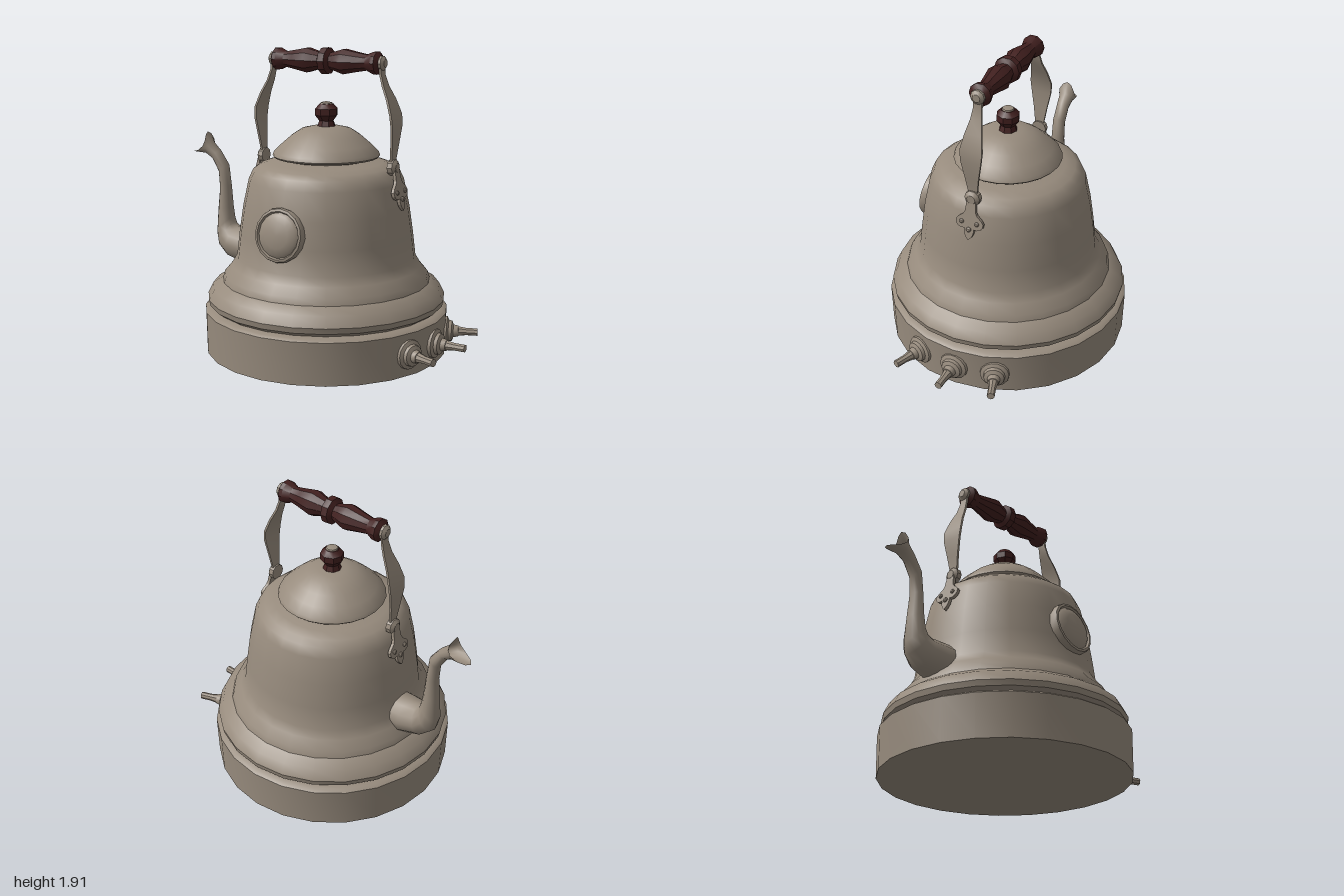
import * as THREE from 'three';
import { toCreasedNormals } from 'three/addons/utils/BufferGeometryUtils.js';

const CX = 0.03; // axis of the pot

export function createModel() {
  const root = new THREE.Group();
  root.name = 'kettle';
  const metal = new THREE.MeshStandardMaterial({ name: 'warm grey metal', color: 0x978b7d, side: THREE.DoubleSide });
  const wood = new THREE.MeshStandardMaterial({ name: 'dark red wood', color: 0x42201f });

  const add = (parent, name, geo, mat = metal) => {
    const m = new THREE.Mesh(geo, mat);
    m.name = name;
    parent.add(m);
    return m;
  };
  const lathe = (pts, sides, crease = 0.6) => toCreasedNormals(
    new THREE.LatheGeometry(pts.map(p => new THREE.Vector2(p[0], p[1])), sides), crease);

  // Loft through rings of equal point count
  const loft = (rings, crease, capped = false) => {
    const n = rings[0].length, idx = [];
    for (let i = 0; i < rings.length - 1; i++) for (let j = 0; j < n; j++) {
      const a = i * n + j, b = i * n + (j + 1) % n;
      idx.push(a, b, a + n, b, b + n, a + n);
    }
    if (capped) for (let j = 1; j < n - 1; j++) {
      const e = (rings.length - 1) * n;
      idx.push(0, j + 1, j, e, e + j, e + j + 1);
    }
    const g = new THREE.BufferGeometry();
    g.setAttribute('position', new THREE.Float32BufferAttribute(rings.flat(2), 3));
    g.setIndex(idx);
    return toCreasedNormals(g, crease);
  };

  // Pot with stepped base
  const body = add(root, 'body', lathe([
    [0, 0], [0.77, 0], [0.775, 0.265], [0.755, 0.28], [0.715, 0.285], [0.75, 0.31], [0.757, 0.345],
    [0.725, 0.41], [0.66, 0.45], [0.648, 0.49], [0.6, 0.545], [0.568, 0.6], [0.55, 0.75], [0.525, 0.92],
    [0.488, 1.09], [0.46, 1.15], [0.42, 1.18], [0.36, 1.2], [0.27, 1.215]], 24));
  body.position.x = CX;

  // Lid with rolled rim
  const lid = add(root, 'lid', lathe([
    [0.26, 1.2], [0.27, 1.22], [0.325, 1.228], [0.337, 1.24], [0.328, 1.262], [0.28, 1.31], [0.22, 1.362],
    [0.155, 1.405], [0.09, 1.42], [0, 1.425]], 24));
  lid.position.x = CX;

  // Lid knob and its cap
  const knob = add(root, 'lidKnob', lathe([
    [0, 1.41], [0.062, 1.41], [0.046, 1.455], [0.073, 1.49], [0.073, 1.53], [0.045, 1.56], [0, 1.56]], 8), wood);
  knob.position.x = CX;
  const cap = add(root, 'knobCap', lathe([[0.042, 1.555], [0.036, 1.568], [0, 1.576]], 8));
  cap.position.x = CX;

  // Front medallion
  const medallion = new THREE.Group();
  medallion.name = 'medallion';
  medallion.position.set(0.025, 0.83, 0.545);
  medallion.rotation.x = Math.PI / 2 - 0.16;
  root.add(medallion);
  add(medallion, 'medallionRing', lathe([
    [0.16, -0.05], [0.166, 0], [0.16, 0.018], [0.145, 0.022], [0.136, 0.008]], 16));
  add(medallion, 'medallionDome', lathe([
    [0.138, 0.008], [0.12, 0.024], [0.08, 0.037], [0, 0.044]], 16, 1));

  // Spout: lower point, upper point and half width of each section
  const sections = [
    [-0.45, 0.47, -0.45, 0.7, 0.12], [-0.58, 0.46, -0.58, 0.7, 0.125], [-0.71, 0.495, -0.655, 0.7, 0.105],
    [-0.785, 0.56, -0.68, 0.72, 0.085], [-0.805, 0.64, -0.69, 0.76, 0.07], [-0.797, 0.8, -0.697, 0.83, 0.055],
    [-0.782, 0.95, -0.708, 0.97, 0.045], [-0.79, 1.06, -0.725, 1.11, 0.042], [-0.84, 1.145, -0.79, 1.2, 0.042],
    [-0.89, 1.175, -0.845, 1.25, 0.05], [-1.0, 1.18, -0.885, 1.32, 0.06]];
  const spout = sections.map(([lx, ly, ux, uy, w], k) => Array.from({ length: 12 }, (_, j) => {
    const a = j / 12 * Math.PI * 2, c = Math.cos(a), s = Math.sin(a);
    const pull = k === sections.length - 1 ? s * s * 0.055 : 0; // notched mouth sides
    return [(lx + ux) / 2 - (ux - lx) / 2 * c + pull, (ly + uy) / 2 - (uy - ly) / 2 * c - pull * 0.4, w * s];
  }));
  add(root, 'spout', loft(spout, 0.9));

  // Wooden grip, turned around x
  const half = [[0.085, 0], [0.083, 0.022], [0.055, 0.04], [0.062, 0.07], [0.08, 0.13], [0.062, 0.22],
    [0.05, 0.29], [0.07, 0.335], [0.072, 0.36], [0.045, 0.38], [0, 0.38]];
  const grip = add(root, 'grip', lathe(
    [...half.slice(1).reverse().map(([r, y]) => [r, -y]), ...half], 10), wood);
  grip.rotation.z = -Math.PI / 2;
  grip.position.set(CX, 1.825, 0);

  // Strap, pivots and leaf plate on each side
  const strapRows = [[0.468, 1.16, 0.025], [0.466, 1.23, 0.028], [0.478, 1.34, 0.045], [0.488, 1.45, 0.066],
    [0.482, 1.52, 0.072], [0.45, 1.61, 0.055], [0.41, 1.69, 0.036], [0.388, 1.76, 0.027], [0.385, 1.84, 0.027]];
  const leaf = new THREE.Shape();
  leaf.moveTo(0, -0.155);
  leaf.bezierCurveTo(0.03, -0.13, 0.035, -0.1, 0.03, -0.08);
  leaf.bezierCurveTo(0.06, -0.09, 0.095, -0.07, 0.09, -0.035);
  leaf.bezierCurveTo(0.08, -0.005, 0.04, 0, 0.035, 0.03);
  leaf.lineTo(0.026, 0.12);
  leaf.lineTo(-0.026, 0.12);
  leaf.lineTo(-0.035, 0.03);
  leaf.bezierCurveTo(-0.04, 0, -0.08, -0.005, -0.09, -0.035);
  leaf.bezierCurveTo(-0.095, -0.07, -0.06, -0.09, -0.03, -0.08);
  leaf.bezierCurveTo(-0.035, -0.1, -0.03, -0.13, 0, -0.155);
  const leafGeo = new THREE.ExtrudeGeometry(leaf, { depth: 0.02, bevelEnabled: false, curveSegments: 4 });
  const pin = (parent, name, x, y, r, len, z = 0) => {
    const m = add(parent, name, lathe([[0, -len / 2], [r, -len / 2], [r, len / 6], [r * 0.55, len / 2], [0, len / 2]], 10));
    m.rotation.z = -Math.PI / 2;
    m.position.set(x, y, z);
  };
  for (const side of [1, -1]) {
    const arm = new THREE.Group();
    arm.name = side > 0 ? 'leftHandleArm' : 'rightHandleArm';
    arm.position.x = CX;
    arm.rotation.y = side > 0 ? 0 : Math.PI;
    root.add(arm);
    const t = 0.007;
    add(arm, 'strap', loft(strapRows.map(([x, y, w]) =>
      [[x + t, y, w], [x + t, y, -w], [x - t, y, -w], [x - t, y, w]]), 0.6, true));
    pin(arm, 'upperPivot', 0.388, 1.825, 0.045, 0.045);
    pin(arm, 'lowerPivot', 0.475, 1.2, 0.05, 0.05);
    const plate = add(arm, 'leafPlate', leafGeo);
    plate.rotation.set(0, Math.PI / 2, 0);
    const tilt = new THREE.Group();
    tilt.name = 'leafMount';
    tilt.position.set(0.496, 1.09, 0);
    tilt.rotation.z = 0.2;
    tilt.add(plate);
    arm.add(tilt);
    pin(tilt, 'rivet', 0.022, -0.085, 0.016, 0.02);
    pin(tilt, 'rivet', 0.022, -0.04, 0.014, 0.02, 0.05);
    pin(tilt, 'rivet', 0.022, -0.04, 0.014, 0.02, -0.05);
  }

  // Three control taps fanned around the base
  for (const [i, a] of [-0.345, 0, 0.345].entries()) {
    const tap = new THREE.Group();
    tap.name = 'tap' + (i + 1);
    tap.position.set(CX, 0.135, 0);
    tap.rotation.y = a;
    root.add(tap);
    const rose = add(tap, 'tapRose', lathe([
      [0.085, 0.69], [0.094, 0.75], [0.09, 0.78], [0.068, 0.79], [0.064, 0.81], [0.04, 0.82], [0.034, 0.85], [0, 0.86]], 14));
    rose.rotation.z = -Math.PI / 2;
    const lever = add(tap, 'tapLever', lathe([[0, 0.83], [0.034, 0.83], [0.024, 0.9], [0.024, 0.97], [0, 0.97]], 8));
    lever.rotation.z = -Math.PI / 2;
  }
  return root;
}
